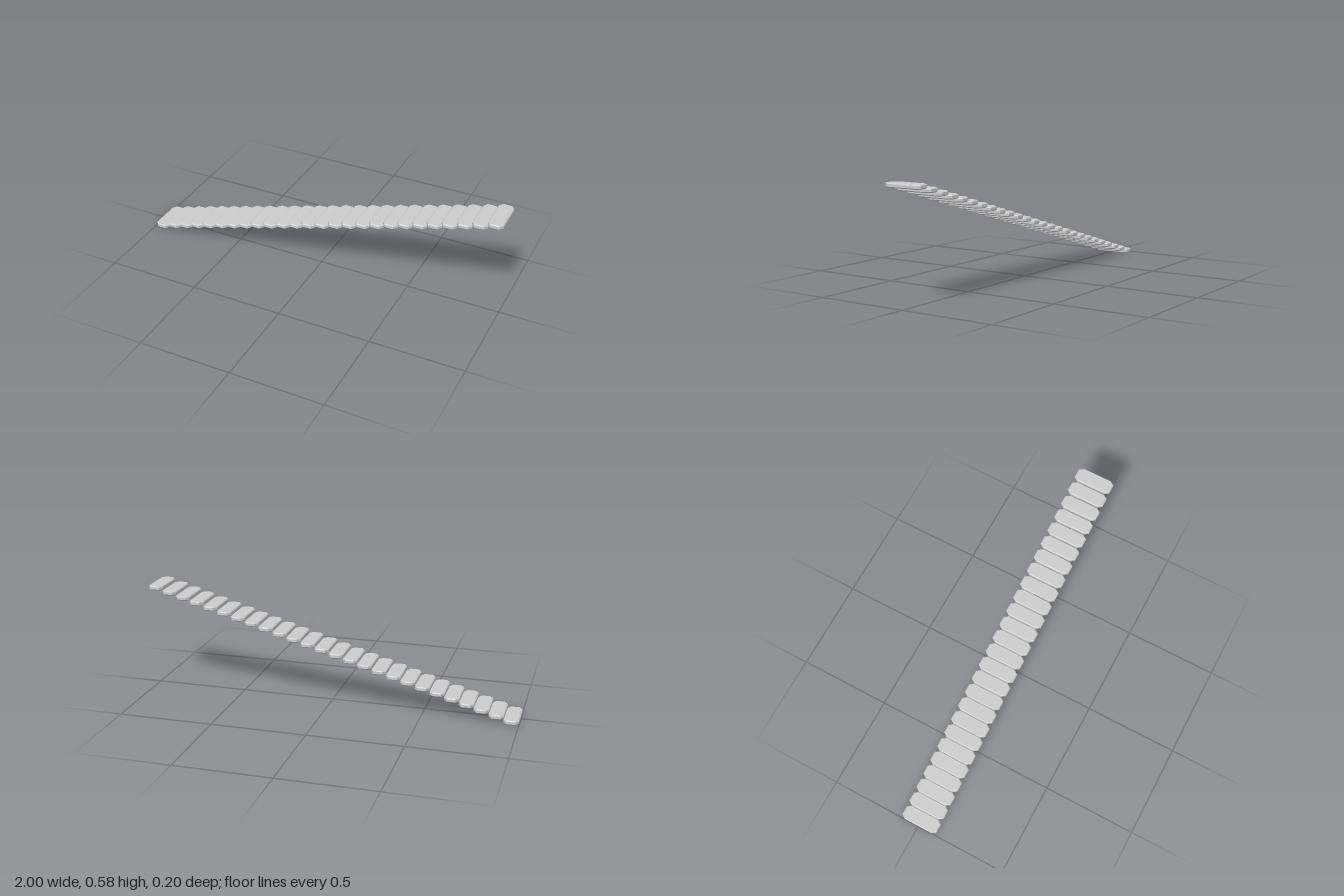
import * as THREE from 'three';

const STEPS = 26, WIDTH = 0.08, DEPTH = 0.205, THICK = 0.023, BEVEL = 0.005, HEIGHT = 0.58;

// Flat slab with clipped corners and bevelled rims, resting on y = 0
function slabGeometry() {
  const x = WIDTH / 2 - BEVEL, z = DEPTH / 2 - BEVEL, cx = 0.014, cz = 0.02;
  const outline = new THREE.Shape([
    [x, -z + cz], [x, z - cz], [x - cx, z], [-x + cx, z],
    [-x, z - cz], [-x, -z + cz], [-x + cx, -z], [x - cx, -z],
  ].map(([a, b]) => new THREE.Vector2(a, b)));
  const geometry = new THREE.ExtrudeGeometry(outline, {
    depth: THICK - 2 * BEVEL, bevelEnabled: true,
    bevelThickness: BEVEL, bevelSize: BEVEL, bevelSegments: 1,
  });
  return geometry.rotateX(-Math.PI / 2).translate(0, BEVEL, 0);
}

export function createModel() {
  const model = new THREE.Group();
  model.name = 'floatingStaircase';
  const material = new THREE.MeshStandardMaterial({ color: 0xcccccc, flatShading: true });
  const geometry = slabGeometry();

  // Straight flight rising towards +x
  for (let i = 0; i < STEPS; i++) {
    const t = i / (STEPS - 1);
    const step = new THREE.Mesh(geometry, material);
    step.name = `step${i + 1}`;
    step.position.set((t - 0.5) * (2 - WIDTH), t * (HEIGHT - THICK), 0);
    model.add(step);
  }
  return model;
}
